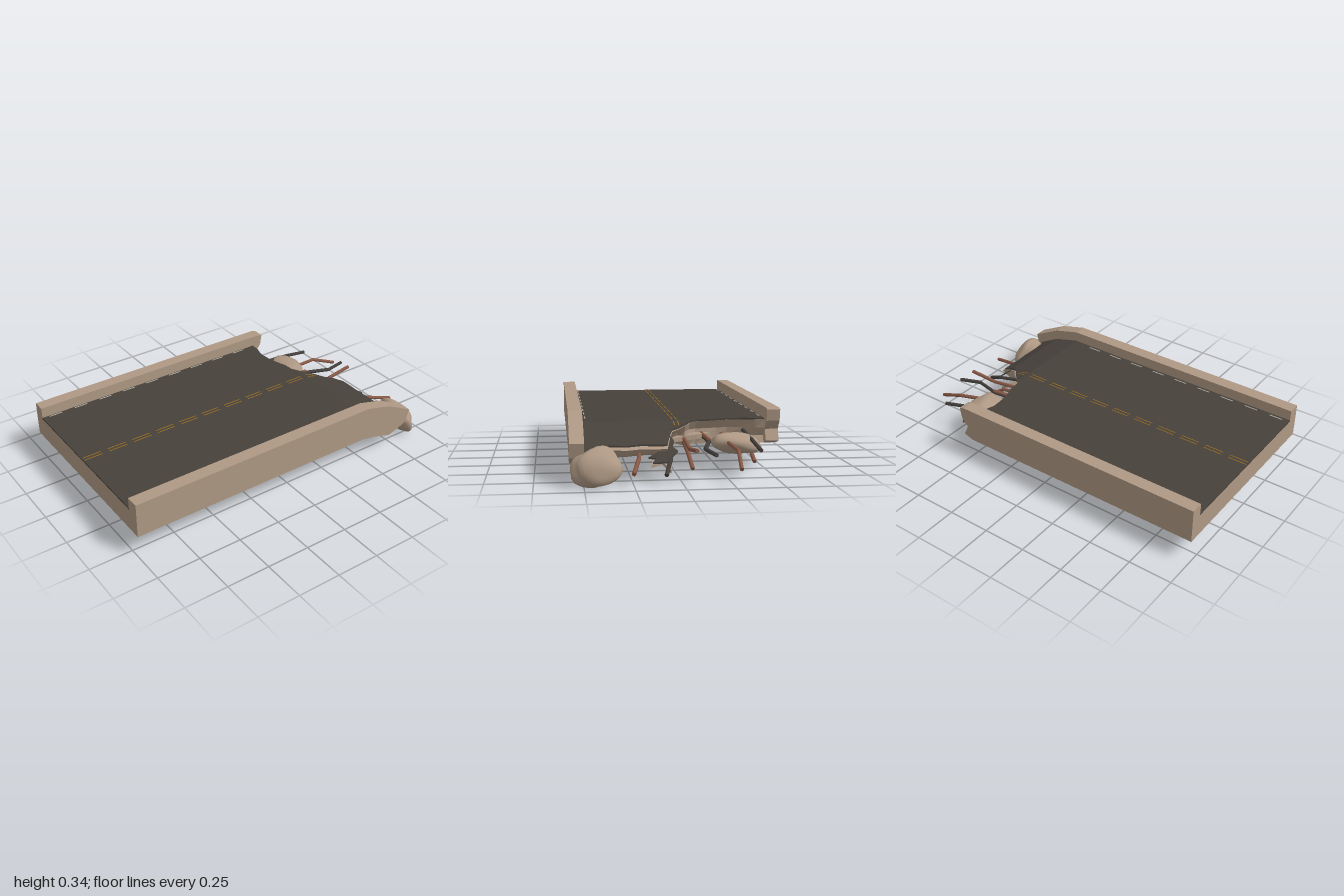
import * as THREE from 'three';
import { mergeVertices } from 'three/addons/utils/BufferGeometryUtils.js';

const paint = (name, color) => Object.assign(new THREE.MeshStandardMaterial({ color }), { name });

// How far the road sags towards its broken end
const drop = z => 0.25 * Math.max(0, -0.52 - z) + 0.28 * Math.max(0, -0.68 - z);
const wobble = (i, k) => Math.sin(i * 12.9 + k * 7.3);

// Broken edge of the road surface, as x and z
const edge = [
  [-0.5, -0.48], [-0.45, -0.48], [-0.38, -0.46], [-0.3, -0.465], [-0.24, -0.48], [-0.18, -0.5],
  [-0.12, -0.505], [-0.08, -0.53], [-0.05, -0.57], [-0.01, -0.61], [0.03, -0.64], [0.05, -0.7],
  [0.07, -0.77], [0.14, -0.77], [0.2, -0.765], [0.28, -0.775], [0.36, -0.77], [0.45, -0.78], [0.5, -0.82],
];

// Joins one ring of [y, z] points per column of x into a faceted slab
function loft(xs, rings) {
  const n = rings[0].length, pos = [], index = [];
  rings.forEach((ring, i) => ring.forEach(([y, z]) => pos.push(xs[i], y, z)));
  for (let i = 0; i < xs.length - 1; i++) {
    for (let j = 0; j < n; j++) {
      const k = (j + 1) % n, a = i * n + j, b = a + n, c = (i + 1) * n + k, d = i * n + k;
      index.push(a, b, c, a, c, d);
    }
  }
  const geo = new THREE.BufferGeometry();
  geo.setAttribute('position', new THREE.Float32BufferAttribute(pos, 3));
  geo.setIndex(index);
  const flat = geo.toNonIndexed();
  flat.computeVertexNormals();
  return flat;
}

// A slab following the sag, with a ragged end running from zTop to zBottom
function slab(top, bottom, zTop, zBottom, rough) {
  const at = (y, z) => [y - drop(z), z];
  return loft(edge.map(e => e[0]), edge.map((e, i) => {
    const a = zTop(e[1], i), b = zBottom(e[1], i);
    const upper = [1, Math.max(-0.52, a), Math.max(-0.68, a), a].map(z => at(top, z));
    const broken = [0.35, 0.7].map((t, k) =>
      at(top + (bottom - top) * t, a + (b - a) * t + rough * wobble(i, k)));
    const lower = [b, Math.max(-0.68, b), Math.max(-0.52, b), 1].map(z => at(bottom, z));
    return [...upper, ...broken, ...lower];
  }));
}

// Side wall cut from a [z, y] profile
function wallGeometry(profile, x, width) {
  const shape = new THREE.Shape(profile.map(([z, y]) => new THREE.Vector2(-z, y)));
  const geo = new THREE.ExtrudeGeometry(shape, { depth: width, bevelEnabled: false });
  return geo.rotateY(Math.PI / 2).translate(x, 0, 0);
}

// Flat splinter outlined in x and z that sags with the road
function shardGeometry(points, y, thick, fall) {
  const shape = new THREE.Shape(points.map(([x, z]) => new THREE.Vector2(x, -z)));
  const geo = new THREE.ExtrudeGeometry(shape, { depth: thick, bevelEnabled: false }).rotateX(-Math.PI / 2);
  const p = geo.attributes.position;
  for (let i = 0; i < p.count; i++) {
    const z = p.getZ(i);
    p.setY(i, p.getY(i) + y - drop(z) - fall * Math.max(0, -0.68 - z));
  }
  geo.computeVertexNormals();
  return geo;
}

// Smooth lumpy boulder
function rockGeometry(seed) {
  let geo = new THREE.IcosahedronGeometry(1, 4);
  geo.deleteAttribute('uv');
  geo.deleteAttribute('normal');
  geo = mergeVertices(geo, 1e-4);
  const p = geo.attributes.position, v = new THREE.Vector3();
  for (let i = 0; i < p.count; i++) {
    v.fromBufferAttribute(p, i);
    const s = 0.95 + 0.07 * Math.sin(3 * v.x + seed) * Math.cos(4 * v.y - seed)
      + 0.05 * Math.sin(5 * v.z + 4 * v.x + seed);
    p.setXYZ(i, v.x * s, v.y * s, v.z * s);
  }
  geo.computeVertexNormals();
  return geo;
}

export function createModel() {
  const model = new THREE.Group();
  const concrete = paint('concrete', 0xae9884);
  const asphalt = paint('asphalt', 0x47413b);
  const rust = paint('rusty steel', 0x8a5a47);
  const steel = paint('dark steel', 0x45413d);
  const yellow = paint('yellow paint', 0x9a6e22);
  const white = paint('white paint', 0xb5b1a6);
  const add = (name, geo, mat, parent = model) => {
    const mesh = new THREE.Mesh(geo, mat);
    mesh.name = name;
    parent.add(mesh);
    return mesh;
  };

  // Deck and its road surface
  add('deck', slab(0.279, 0.15,
    (z, i) => z - 0.012 - 0.012 * wobble(i, 3),
    (z, i) => z + (z < -0.6 ? 0.14 : 0.03) + 0.025 * wobble(i, 5), 0.025), concrete);
  add('roadSurface', slab(0.288, 0.279, z => z, z => z, 0), asphalt);

  // Side walls: the left one sags, the right one is snapped short
  add('leftWall', wallGeometry([
    [1, 0.15], [-0.49, 0.15], [-0.6, 0.13], [-0.7, 0.1], [-0.78, 0.125], [-0.83, 0.15],
    [-0.85, 0.225], [-0.68, 0.31], [-0.52, 0.35], [1, 0.35],
  ], 0.495, 0.075), concrete);
  add('rightWall', wallGeometry([
    [1, 0.15], [-0.47, 0.15], [-0.53, 0.17], [-0.5, 0.23], [-0.54, 0.28], [-0.55, 0.343],
    [-0.52, 0.35], [1, 0.35],
  ], -0.57, 0.072), concrete);

  // Worn lane lines
  const lines = new THREE.Group();
  lines.name = 'laneLines';
  model.add(lines);
  for (const x of [-0.014, 0.009]) {
    for (let i = 0; i < 10; i++) {
      add('centreLine', new THREE.BoxGeometry(0.005, 0.002, 0.11), yellow, lines)
        .position.set(x, 0.2885, 0.94 - i * 0.153);
    }
    const end = add('centreLine', new THREE.BoxGeometry(0.005, 0.002, 0.06), yellow, lines);
    end.position.set(x, 0.279, -0.56);
    end.rotation.x = -Math.atan(0.25);
  }
  for (const x of [-0.488, 0.475]) {
    for (let i = 0; i < 9; i++) {
      add('edgeLine', new THREE.BoxGeometry(0.006, 0.002, 0.08), white, lines)
        .position.set(x, 0.2885, 0.92 - i * 0.16);
    }
  }

  // Torn flap of road surface and concrete splinters
  add('tornSurface', shardGeometry([
    [0.03, -0.64], [0.09, -0.66], [0.11, -0.77], [0.17, -0.8], [0.13, -0.805], [0.15, -0.825],
    [0.06, -0.825], [0.05, -0.8], [0.015, -0.77], [0.04, -0.75], [0.03, -0.72], [0.05, -0.69],
  ], 0.279, 0.008, 0.35), asphalt);
  add('splinter', shardGeometry([
    [0.02, -0.64], [0.12, -0.66], [0.15, -0.75], [0.09, -0.73], [0.05, -0.79], [0.04, -0.72],
  ], 0.16, 0.015, 0.1), concrete);
  add('splinter', shardGeometry([
    [-0.15, -0.46], [0, -0.5], [0.02, -0.58], [-0.05, -0.55], [-0.12, -0.535], [-0.2, -0.5],
  ], 0.19, 0.025, 0), concrete);

  // Fallen boulders
  const rocks = [
    [[-0.315, 0.175, -0.61], [0.147, 0.06, 0.09], 0, 0.1, 1],
    [[0.44, 0.11, -0.878], [0.135, 0.107, 0.066], 0.4, -0.25, 4],
  ];
  for (const [at, size, tilt, roll, seed] of rocks) {
    const rock = add('boulder', rockGeometry(seed), concrete);
    rock.position.set(...at);
    rock.scale.set(...size);
    rock.rotation.set(tilt, 0, roll);
  }

  // Bent reinforcing bars, each a short path of x, y, z points
  const bars = [
    [steel, [-0.39, 0.22, -0.4], [-0.39, 0.2, -0.68], [-0.405, 0.17, -0.83]],
    [rust, [-0.39, 0.18, -0.4], [-0.39, 0.16, -0.58], [-0.4, 0.09, -0.7]],
    [rust, [-0.27, 0.2, -0.4], [-0.26, 0.19, -0.66], [-0.29, 0.17, -0.82], [-0.275, 0.105, -0.98]],
    [rust, [-0.15, 0.21, -0.42], [-0.165, 0.2, -0.65]],
    [steel, [-0.15, 0.2, -0.42], [-0.165, 0.19, -0.65], [-0.12, 0.18, -0.81], [-0.155, 0.17, -0.94]],
    [rust, [-0.045, 0.2, -0.5], [-0.05, 0.17, -0.75], [-0.062, 0.19, -0.92]],
    [rust, [-0.05, 0.17, -0.5], [-0.05, 0.14, -0.68], [-0.06, 0.075, -0.78]],
    [steel, [0.06, 0.17, -0.62], [0.055, 0.13, -0.8], [0.09, 0.07, -0.91]],
    [rust, [0.2, 0.18, -0.6], [0.22, 0.14, -0.82], [0.26, 0.095, -0.993]],
    [steel, [0.36, 0.16, -0.65], [0.35, 0.12, -0.84]],
  ];
  const up = new THREE.Vector3(0, 1, 0);
  for (const [mat, ...path] of bars) {
    const bar = new THREE.Group();
    bar.name = 'reinforcingBar';
    model.add(bar);
    for (let i = 0; i < path.length - 1; i++) {
      const a = new THREE.Vector3(...path[i]), b = new THREE.Vector3(...path[i + 1]);
      const d = b.clone().sub(a);
      const piece = add('barSegment', new THREE.CylinderGeometry(0.011, 0.011, d.length() + 0.006, 6), mat, bar);
      piece.position.copy(a).add(b).multiplyScalar(0.5);
      piece.quaternion.setFromUnitVectors(up, d.normalize());
    }
  }
  return model;
}
